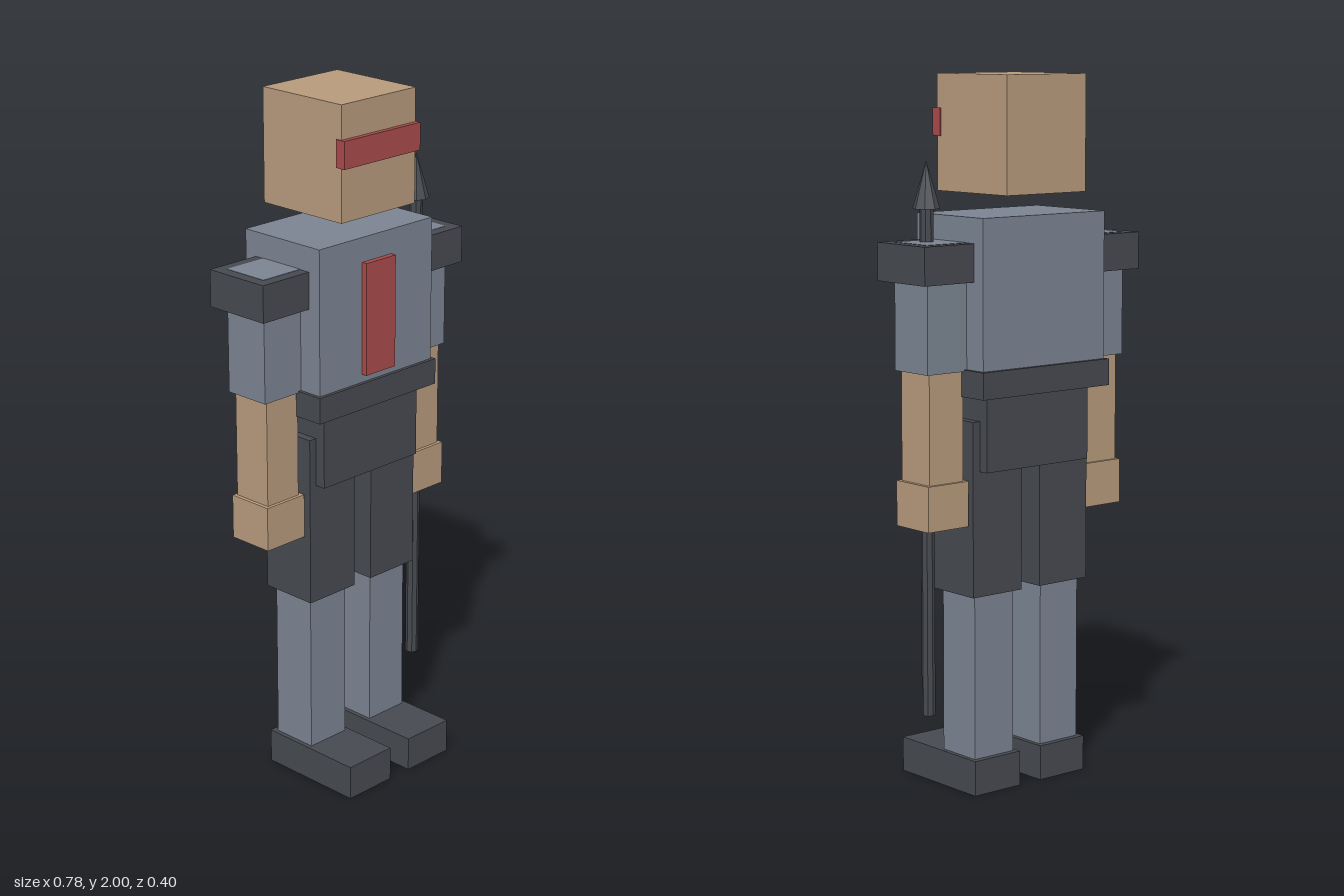
import * as THREE from 'three';

const material = (name, color) => {
  const m = new THREE.MeshStandardMaterial({ color, flatShading: true });
  m.name = name;
  return m;
};

export function createModel() {
  const model = new THREE.Group();
  model.name = 'guard';
  const skin = material('skin', 0xb89a7c);
  const steel = material('steel', 0x7b8492);
  const dark = material('darkArmor', 0x46494f);
  const red = material('red', 0xa84a4a);

  const add = (name, geometry, mat, x, y, z) => {
    const mesh = new THREE.Mesh(geometry, mat);
    mesh.name = name;
    mesh.position.set(x, y, z);
    model.add(mesh);
  };
  // Box given by its lower and upper limit on each axis
  const box = (name, mat, [x0, x1], [y0, y1], [z0, z1]) =>
    add(name, new THREE.BoxGeometry(x1 - x0, y1 - y0, z1 - z0), mat,
      (x0 + x1) / 2, (y0 + y1) / 2, (z0 + z1) / 2);
  // The same box on the left and right
  const pair = (name, mat, [x0, x1], y, z) => {
    box(name + 'Left', mat, [x0, x1], y, z);
    box(name + 'Right', mat, [-x1, -x0], y, z);
  };

  // Head and visor
  box('head', skin, [-0.142, 0.142], [1.677, 2], [-0.194, 0.104]);
  box('visor', red, [-0.146, 0.146], [1.828, 1.905], [0.087, 0.119]);

  // Trunk
  box('torso', steel, [-0.22, 0.22], [1.15, 1.62], [-0.187, 0.098]);
  box('chestStripe', red, [-0.057, 0.057], [1.228, 1.55], [0.085, 0.115]);
  box('belt', dark, [-0.23, 0.23], [1.13, 1.205], [-0.199, 0.108]);
  box('hips', dark, [-0.185, 0.185], [0.92, 1.15], [-0.16, 0.078]);

  // Arms
  pair('shoulderPlate', dark, [0.213, 0.389], [1.445, 1.55], [-0.148, 0.058]);
  pair('upperArm', steel, [0.214, 0.356], [1.2, 1.551], [-0.117, 0.025]);
  pair('forearm', skin, [0.225, 0.342], [0.85, 1.21], [-0.106, 0.016]);
  pair('hand', skin, [0.212, 0.353], [0.768, 0.895], [-0.114, 0.026]);

  // Legs
  pair('thigh', dark, [0.033, 0.209], [0.568, 1.06], [-0.13, 0.046]);
  pair('shin', steel, [0.051, 0.19], [0.08, 0.58], [-0.113, 0.026]);
  pair('foot', dark, [0.038, 0.203], [0, 0.1], [-0.13, 0.197]);

  // Spear in the left hand
  add('spearShaft', new THREE.CylinderGeometry(0.019, 0.019, 1.42, 8), dark, 0.284, 0.938, -0.024);
  add('spearTip', new THREE.ConeGeometry(0.038, 0.13, 8), dark, 0.284, 1.705, -0.024);

  return model;
}
